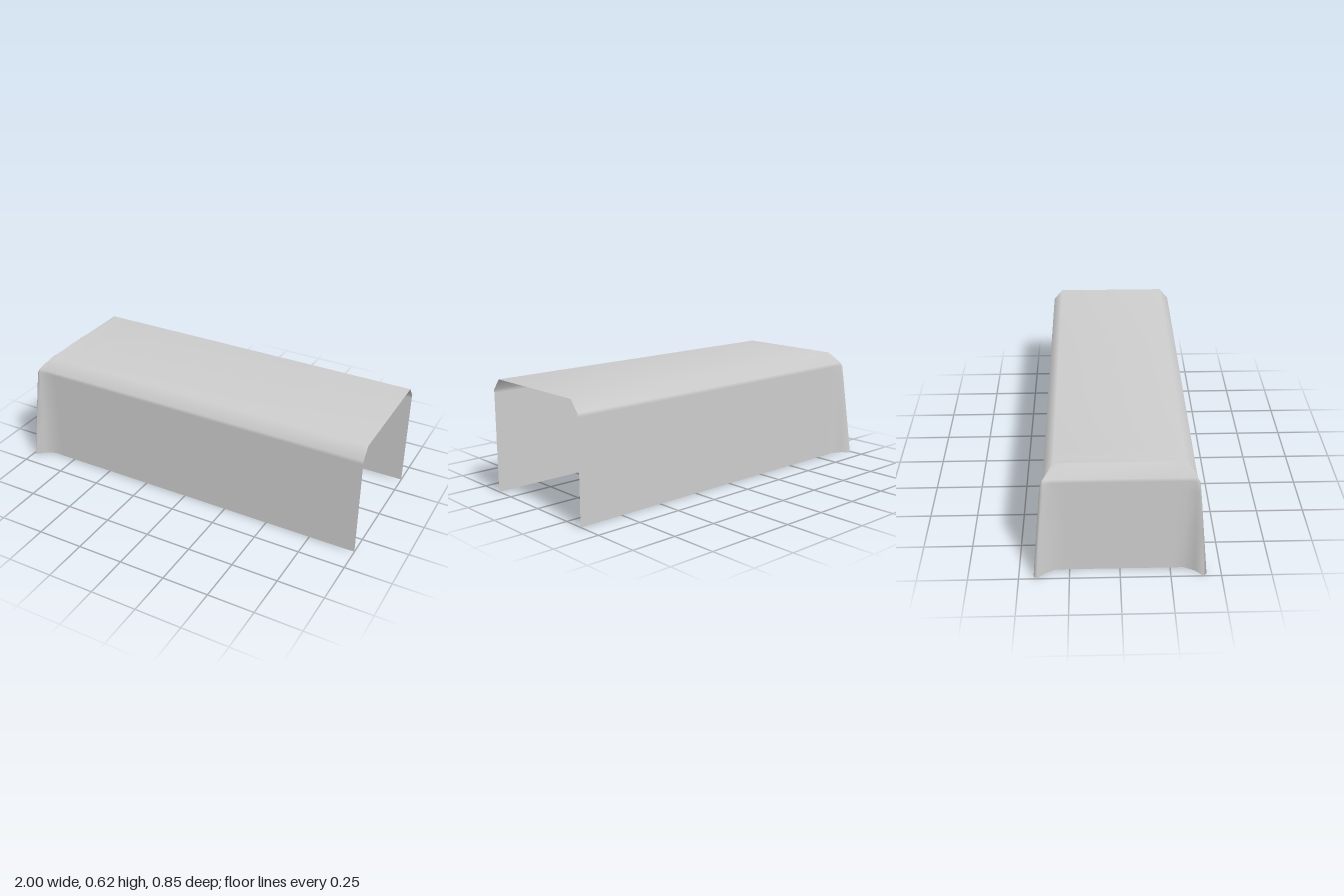
import * as THREE from 'three';

// Plan outline of the cloth at one level: open at +x, folded fins at the two -x corners
function ringPoints({ y, inset, fin, half }) {
  const w = 0.362 - inset, e = -0.935 + inset, k = Math.SQRT1_2;
  // along: distance out on the corner diagonal, side: offset across the fin
  const diagonal = (along, side) => [e + k * (side - along), w + k * (along + side)];
  const side = [
    [1, w], [0.3, w], [-0.4, w], [e + 0.1, w], [e + 0.045, w],
    diagonal(fin * 0.3, half), diagonal(fin, half),
    diagonal(fin, -half), diagonal(fin * 0.3, -half),
    [e, w - 0.045], [e, w - 0.1],
  ];
  const mirrored = side.map(([x, z]) => [x, -z]).reverse();
  return [...side, ...mirrored].map(([x, z]) => [x, y, z]);
}

function drapedCloth() {
  const levels = [
    { y: 0, inset: 0, fin: 0.08, half: 0.012 },
    { y: 0.25, inset: 0, fin: 0.049, half: 0.01 },
    { y: 0.48, inset: 0, fin: 0.02, half: 0.008 },
    { y: 0.535, inset: 0, fin: 0.012, half: 0.006 },
    { y: 0.555, inset: 0, fin: 0.001, half: 0.002 },
    { y: 0.615, inset: 0.05, fin: 0, half: 0.001 },
  ];
  const rings = levels.map(ringPoints);
  const n = rings[0].length, index = [];
  // Hanging sides and the sloped shoulder
  for (let j = 0; j < rings.length - 1; j++) {
    for (let i = 0; i < n - 1; i++) {
      const a = j * n + i, b = a + 1, c = a + n, d = c + 1;
      index.push(a, c, b, b, c, d);
    }
  }
  // Flat top, bridging the two halves of the last ring
  const start = (rings.length - 1) * n;
  for (let i = 0; i < n / 2 - 1; i++) {
    const a = start + i, m = start + n - 1 - i;
    index.push(a, m, a + 1, m, m - 1, a + 1);
  }
  const geometry = new THREE.BufferGeometry();
  geometry.setAttribute('position', new THREE.Float32BufferAttribute(rings.flat(2), 3));
  geometry.setIndex(index);
  geometry.computeVertexNormals();
  return geometry;
}

export function createModel() {
  const group = new THREE.Group();
  group.name = 'drapedCover';
  const fabric = new THREE.MeshStandardMaterial({ color: 0xcccccc, side: THREE.DoubleSide });
  fabric.name = 'light grey fabric';
  const cloth = new THREE.Mesh(drapedCloth(), fabric);
  cloth.name = 'cloth';
  group.add(cloth);
  return group;
}
